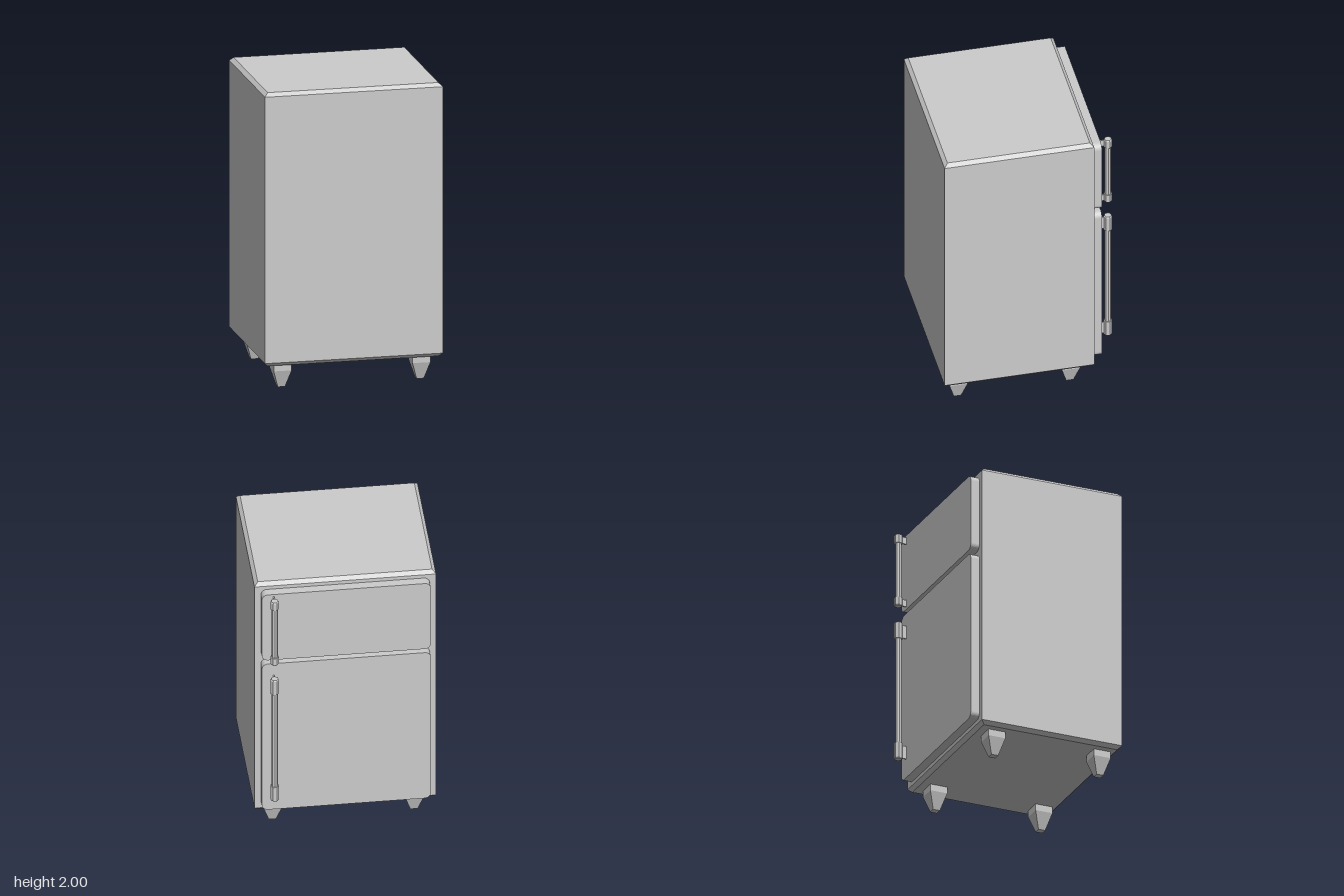
import * as THREE from 'three';

const mat = new THREE.MeshStandardMaterial({ color: 0xcccccc, flatShading: true });

function add(parent, name, geometry, x, y, z) {
  const mesh = new THREE.Mesh(geometry, mat);
  mesh.name = name;
  mesh.position.set(x, y, z);
  parent.add(mesh);
  return mesh;
}

// Box with chamfered top and bottom rims and sharp upright edges
function cabinetGeometry(w, h, d, c) {
  const x = w / 2 - c, z = d / 2 - c;
  const shape = new THREE.Shape([[-x, -z], [x, -z], [x, z], [-x, z]].map(p => new THREE.Vector2(...p)));
  const g = new THREE.ExtrudeGeometry(shape, {
    depth: h - 2 * c, bevelThickness: c, bevelSize: c, bevelSegments: 1,
  });
  return g.rotateX(-Math.PI / 2).translate(0, c, 0);
}

// Flat panel with rounded corners, from y0 to y1
function doorGeometry(x0, x1, y0, y1, depth, r) {
  const s = new THREE.Shape();
  s.moveTo(x0 + r, y0);
  s.absarc(x1 - r, y0 + r, r, -Math.PI / 2, 0);
  s.absarc(x1 - r, y1 - r, r, 0, Math.PI / 2);
  s.absarc(x0 + r, y1 - r, r, Math.PI / 2, Math.PI);
  s.absarc(x0 + r, y0 + r, r, Math.PI, Math.PI * 1.5);
  return new THREE.ExtrudeGeometry(s, { depth, bevelEnabled: false, curveSegments: 4 });
}

// Vertical bar with a thicker collar and a thin bracket at each end
function addHandle(parent, name, y0, y1, collar) {
  const handle = new THREE.Group();
  handle.name = name;
  handle.position.set(0.475, 0, -0.545);
  parent.add(handle);
  const rim = 0.008;
  add(handle, 'bar', new THREE.CylinderGeometry(0.021, 0.021, y1 - y0 - collar, 8), 0, (y0 + y1) / 2, 0);
  for (const [end, y, dir] of [['upper', y1, -1], ['lower', y0, 1]]) {
    const profile = [[0, 0], [0.024, 0], [0.029, rim], [0.029, collar], [0, collar]]
      .map(([r, h]) => new THREE.Vector2(r, dir > 0 ? h : collar - h));
    if (dir < 0) profile.reverse();
    add(handle, end + 'Collar', new THREE.LatheGeometry(profile, 7), 0, dir > 0 ? y : y - collar, 0);
    add(handle, end + 'Bracket', new THREE.BoxGeometry(0.009, collar * 0.78, 0.06), 0, y + dir * collar / 2, 0.03);
  }
}

export function createModel() {
  const model = new THREE.Group();
  model.name = 'refrigerator';

  // Cabinet
  add(model, 'cabinet', cabinetGeometry(1.192, 1.84, 1.0, 0.024), -0.003, 0.16, 0.073);

  // Doors on the -z side
  add(model, 'freezerDoor', doorGeometry(-0.557, 0.552, 1.42, 1.95, 0.07, 0.04), 0, 0, -0.488);
  add(model, 'mainDoor', doorGeometry(-0.557, 0.552, 0.21, 1.39, 0.07, 0.04), 0, 0, -0.488);

  // Handles
  addHandle(model, 'freezerHandle', 1.43, 1.94, 0.06);
  addHandle(model, 'mainHandle', 0.33, 1.31, 0.115);

  // Square feet: a short block over a taper
  const profile = [[0, 0], [0.024, 0], [0.06, 0.115], [0.06, 0.17], [0, 0.17]]
    .map(([half, y]) => new THREE.Vector2(half * Math.SQRT2, y));
  const footGeometry = new THREE.LatheGeometry(profile, 4, Math.PI / 4);
  for (const x of [-0.468, 0.462]) {
    for (const z of [-0.288, 0.463]) add(model, 'foot', footGeometry, x, 0, z);
  }
  return model;
}
